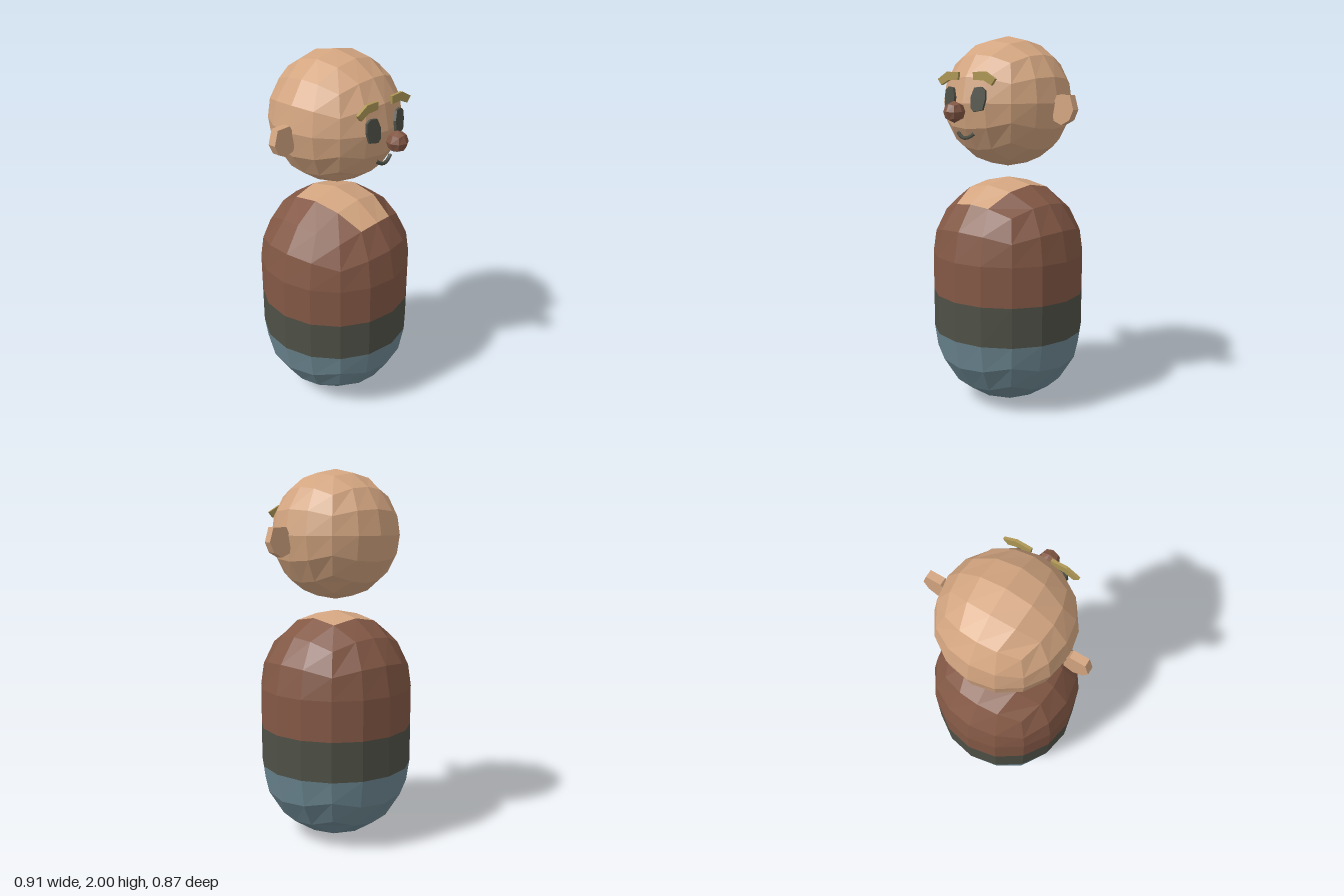
import * as THREE from 'three';

const mat = (name, color) => {
  const m = new THREE.MeshStandardMaterial({ color });
  m.name = name;
  return m;
};

// Faceted ball made from a cube; extra bands stretch it upright into a capsule
function cubeBall(radius, n, bands = 0, step = 0) {
  const geo = new THREE.BoxGeometry(n, n + bands, n, n, n + bands, n).toNonIndexed();
  const p = geo.attributes.position, v = new THREE.Vector3();
  const warp = (k) => Math.tan((k / n) * (Math.PI / 2));
  for (let i = 0; i < p.count; i++) {
    const y = p.getY(i);
    const lift = THREE.MathUtils.clamp(y, -bands / 2, bands / 2);
    v.set(warp(p.getX(i)), warp(y - lift), warp(p.getZ(i))).setLength(radius);
    p.setXYZ(i, v.x, v.y + lift * step, v.z);
  }
  geo.computeVertexNormals();
  return geo;
}

// Gives each triangle a material index from its centre
function paint(geo, rule) {
  const p = geo.attributes.position, a = new THREE.Vector3(), c = new THREE.Vector3();
  for (let i = 0; i < p.count; i += 3) {
    c.set(0, 0, 0);
    for (let j = 0; j < 3; j++) c.add(a.fromBufferAttribute(p, i + j));
    geo.addGroup(i, 3, rule(c.divideScalar(3)));
  }
  return geo;
}

// Flat outline extruded along z; side = -1 mirrors it
function plate(points, depth, side = 1) {
  const shape = new THREE.Shape(points.map(([x, y]) => new THREE.Vector2(x * side, y)));
  return new THREE.ExtrudeGeometry(shape, { depth, bevelEnabled: false });
}

export function createModel() {
  const skin = mat('skin', 0xd3a580);
  const brown = mat('brown', 0x835845);
  const dark = mat('dark grey', 0x4e5046);
  const blue = mat('blue grey', 0x6c8791);
  const straw = mat('straw', 0xad9655);

  const model = new THREE.Group();
  const add = (name, geo, material, x = 0, y = 0, z = 0) => {
    const m = new THREE.Mesh(geo, material);
    m.name = name;
    m.position.set(x, y, z);
    model.add(m);
    return m;
  };

  // Body: blue base, dark belt, brown shirt with an open skin neckline
  const body = cubeBall(0.413, 4, 2, 0.213);
  body.clearGroups();
  paint(body, (c) => {
    if (c.y < -0.214) return 0;
    if (c.y < 0) return 1;
    const up = c.y - 0.213;
    const neckline = Math.abs(c.x) < up * 0.414 && c.z < up && c.z > -up * 0.414;
    return neckline ? 3 : 2;
  });
  add('body', body, [blue, dark, brown, skin], 0, 0.63, -0.022);

  // Head and nose
  const head = cubeBall(0.342, 4);
  head.clearGroups();
  add('head', head, skin, 0, 1.658, -0.02);
  const nose = cubeBall(0.055, 2);
  nose.clearGroups();
  add('nose', nose, brown, 0, 1.617, 0.378);

  // Paired features
  const earOutline = [[0.32, 1.64], [0.33, 1.57], [0.38, 1.55], [0.43, 1.575],
    [0.455, 1.627], [0.432, 1.7], [0.35, 1.7]];
  const browOutline = [[0.055, 1.772], [0.125, 1.772], [0.178, 1.748], [0.205, 1.778],
    [0.135, 1.815], [0.053, 1.812]];
  const eyeOutline = [[-0.022, -0.062], [0.03, -0.052], [0.043, 0], [0.039, 0.045],
    [0.014, 0.062], [-0.026, 0.057], [-0.044, 0.01], [-0.04, -0.045]];
  for (const side of [1, -1]) {
    const label = side > 0 ? 'left' : 'right';
    add(label + 'Ear', plate(earOutline, 0.042, side), skin, 0, 0, -0.042);
    add(label + 'Eyebrow', plate(browOutline, 0.015, side), straw, 0, 0, 0.284);
    const eye = add(label + 'Eye', plate(eyeOutline, 0.014, side), dark, side * 0.1, 1.678, 0.301);
    eye.rotation.set(-0.1, side * 0.18, 0);
  }

  // Smiling mouth
  const smile = new THREE.QuadraticBezierCurve3(
    new THREE.Vector3(-0.058, 1.508, 0.296),
    new THREE.Vector3(0, 1.457, 0.312),
    new THREE.Vector3(0.058, 1.508, 0.296));
  add('mouth', new THREE.TubeGeometry(smile, 6, 0.01, 5), dark);

  return model;
}
